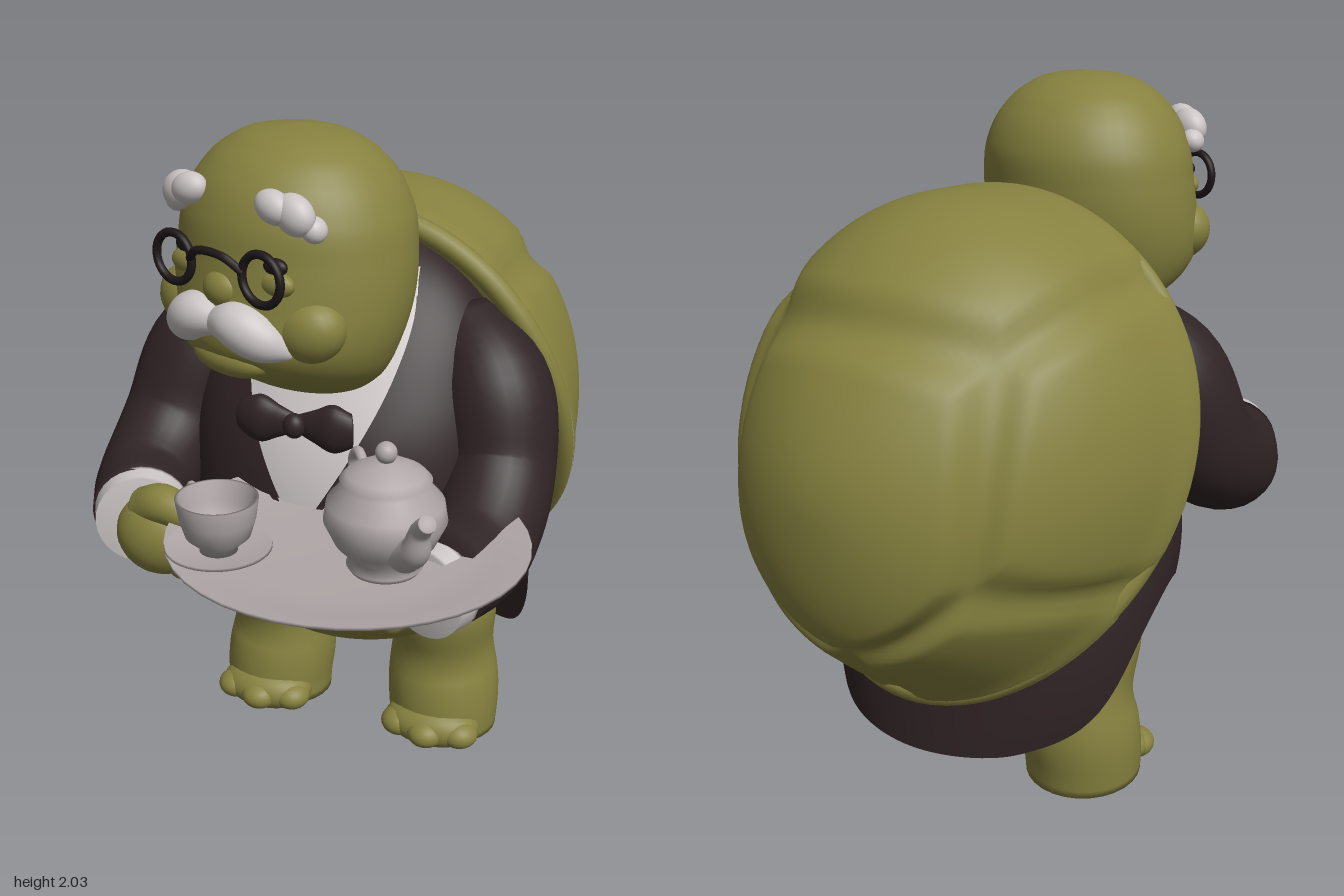
import * as THREE from 'three';
import { mergeVertices } from 'three/addons/utils/BufferGeometryUtils.js';
import { ParametricGeometry } from 'three/addons/geometries/ParametricGeometry.js';

const TAU = Math.PI * 2;
const mat = (name, color, side = THREE.FrontSide) => {
  const m = new THREE.MeshStandardMaterial({ color, side });
  m.name = name;
  return m;
};

// Smooth surface from a function (u, v) -> [x, y, z], seams welded
function grid(fn, nu, nv) {
  const g = new ParametricGeometry((u, v, p) => p.set(...fn(u, v)), nu, nv);
  g.deleteAttribute('normal');
  g.deleteAttribute('uv');
  const merged = mergeVertices(g, 1e-4);
  merged.computeVertexNormals();
  return merged;
}

// Smooth lookup in rows of [key, ...values]
function table(rows) {
  const n = rows[0].length - 1;
  const it = new THREE.CubicInterpolant(rows.map(r => r[0]), rows.flatMap(r => r.slice(1)), n, new Float32Array(n));
  return k => Array.from(it.evaluate(k));
}

// Point on an elliptical section [halfWidth, frontZ, backZ]
const onSection = ([rx, f, b], y, a) => [rx * Math.cos(a), y, (f + b) / 2 + (f - b) / 2 * Math.sin(a)];

// Stacked elliptical sections [y, halfWidth, frontZ, backZ]
function loft(rows, nu = 48, nv = 36) {
  const at = table(rows), y0 = rows[0][0], y1 = rows[rows.length - 1][0];
  return grid((u, v) => {
    const y = y0 + (y1 - y0) * v;
    return onSection(at(y), y, -u * TAU);
  }, nu, nv);
}

// Tube with changing radius and closed ends
function limb(points, radii, n = 28) {
  const curve = new THREE.CatmullRomCurve3(points.map(p => new THREE.Vector3(...p)));
  const fr = curve.computeFrenetFrames(n);
  const rad = table(radii.map((r, i) => [i / (radii.length - 1), r]));
  return grid((u, v) => {
    const k = Math.round(v * (n + 2)), i = Math.min(n, Math.max(0, k - 1));
    const r = k <= 0 || k >= n + 2 ? 0 : rad(i / n)[0];
    const c = curve.getPointAt(i / n);
    c.addScaledVector(fr.normals[i], r * Math.cos(u * TAU)).addScaledVector(fr.binormals[i], r * Math.sin(u * TAU));
    return c.toArray();
  }, 28, n + 2);
}

const tube = (pts, r, closed = false, n = 48) =>
  new THREE.TubeGeometry(new THREE.CatmullRomCurve3(pts.map(p => new THREE.Vector3(...p)), closed), n, r, 10, closed);
const lathe = pts => new THREE.LatheGeometry(pts.map(p => new THREE.Vector2(...p)), 40);

export function createModel() {
  const root = new THREE.Group();
  root.name = 'butlerTortoise';
  const skin = mat('olive skin', 0x86813f);
  const cloth = mat('dark jacket', 0x2f2325, THREE.DoubleSide);
  const white = mat('white cloth and hair', 0xcbc4c4, THREE.DoubleSide);
  const china = mat('silver and china', 0xb0a7a7, THREE.DoubleSide);
  const black = mat('spectacle black', 0x1f1718);

  const add = (name, geo, m, parent = root) => {
    const mesh = new THREE.Mesh(geo, m);
    mesh.name = name;
    parent.add(mesh);
    return mesh;
  };
  const ball = (name, m, pos, size, parent = root, rz = 0) => {
    const b = add(name, new THREE.SphereGeometry(1, 24, 16), m, parent);
    b.position.set(...pos);
    b.scale.set(...size);
    b.rotation.z = rz;
    return b;
  };

  // Shell: dome over a bowed rim, fuller on top, with grooves between the plates
  const rim = (a, k = 1) => {
    const s = Math.sin(a);
    return [-0.015 + 0.625 * k * Math.cos(a), 1.04 + 0.655 * k * s, -0.2 + 0.27 * s - 0.15 * s * s];
  };
  const plates = [90, 0, 180, -52, -128].map(d => {
    const a = d * Math.PI / 180;
    return new THREE.Vector3(Math.cos(a), Math.sin(a), 0.22).normalize();
  });
  plates.push(new THREE.Vector3(0, 0, 1));
  const dir = new THREE.Vector3();
  add('shell', grid((u, v) => {
    const a = -u * TAU, t = v * Math.PI / 2, c = Math.cos(t), s = Math.sin(t);
    dir.set(c * Math.cos(a), c * Math.sin(a), s);
    const d = plates.map(p => p.distanceTo(dir)).sort((p, q) => p - q);
    const puff = 0.035 * THREE.MathUtils.smoothstep(d[1] - d[0], 0, 0.25) - 0.02;
    const k = 1 + puff + 0.12 * Math.sin(a) * Math.sin(3 * t) + 0.025 * Math.exp(-((t / 0.1) ** 2));
    const [x, y, z] = rim(a);
    return [-0.015 + (x + 0.015) * c * k, 1.04 + (y - 1.04) * c * k, z + (-0.985 - z) * s - puff * s];
  }, 128, 64), skin);
  add('shellUnderside', grid((u, v) => {
    const [x, y, z] = rim(u * TAU), c = 1 - v;
    return [x * c, 1.04 + (y - 1.04) * c, -0.3 + (z + 0.3) * c];
  }, 64, 6), skin);
  add('shellRim', tube(Array.from({ length: 32 }, (_, i) => rim(i / 32 * TAU, 0.985)), 0.033, true, 96), skin);

  // Belly
  add('belly', loft([[0.36, 0.02, -0.06, -0.12], [0.39, 0.2, 0.1, -0.25], [0.46, 0.37, 0.2, -0.36],
    [0.55, 0.45, 0.265, -0.42], [0.65, 0.47, 0.3, -0.42], [0.8, 0.4, 0.25, -0.35]]), skin);

  // Jacket with a hem that drops into a broad tail behind
  const jacketAt = table([[0.15, 0.44, 0.2, -0.6], [0.3, 0.5, 0.24, -0.585], [0.55, 0.53, 0.29, -0.55], [0.7, 0.53, 0.345, -0.5],
    [0.9, 0.5, 0.365, -0.45], [1.1, 0.48, 0.33, -0.4], [1.25, 0.46, 0.26, -0.4], [1.45, 0.38, 0.13, -0.35],
    [1.56, 0.27, 0.03, -0.28], [1.62, 0.17, -0.06, -0.22]]);
  const hemAt = table([[-1, 0.19], [-0.75, 0.215], [-0.4, 0.31], [-0.1, 0.55], [0.1, 0.63], [0.5, 0.59], [0.9, 0.54], [1, 0.54]]);
  add('jacket', grid((u, v) => {
    const a = -u * TAU, s = Math.sin(a);
    const notch = s > 0 ? 0.06 * Math.exp(-(((Math.cos(a) + 0.12) / 0.08) ** 2)) : 0;
    const hem = hemAt(s)[0] + notch, y = hem + (1.62 - hem) * v;
    return onSection(jacketAt(y), y, a);
  }, 128, 48), cloth);

  // Sheets that lie on the jacket front between two x limits
  const onChest = (x, y, off) => {
    const [rx, f, b] = jacketAt(y);
    return [x, y, (f + b) / 2 + (f - b) / 2 * Math.sqrt(Math.max(0, 1 - (x / rx) ** 2)) + off];
  };
  const sheet = (y0, y1, lo, hi, off) => grid((u, v) => {
    const y = y0 + (y1 - y0) * v;
    return onChest(lo(y) + (hi(y) - lo(y)) * u, y, off);
  }, 16, 24);
  const openAt = table([[0.88, 0.005], [1.0, 0.08], [1.15, 0.16], [1.3, 0.215], [1.45, 0.235], [1.56, 0.21]]);
  const open = y => openAt(y)[0];
  add('shirt', sheet(0.88, 1.56, y => -open(y), open, 0.008), white);
  const lapel = y => open(y) + 0.11 * Math.sin(Math.PI * Math.min(1, (y - 0.88) / 0.62) ** 1.4);
  for (const s of [-1, 1]) add('lapel', sheet(0.88, 1.5, y => s * open(y), y => s * lapel(y), 0.016), cloth);
  add('collar', tube(Array.from({ length: 16 }, (_, i) => {
    const a = i / 16 * TAU;
    return [-0.01 + 0.205 * Math.cos(a), 1.46 - 0.13 * Math.sin(a), 0.12 + 0.155 * Math.sin(a)];
  }), 0.03, true), white);

  // Bow tie
  const bow = new THREE.Group();
  bow.name = 'bowTie';
  bow.position.set(-0.02, 1.185, 0.325);
  root.add(bow);
  for (const s of [-1, 1]) {
    const wing = limb([[0, 0, 0], [s * 0.06, 0, 0.005], [s * 0.13, 0, 0], [s * 0.16, 0, -0.01]], [0.025, 0.048, 0.07, 0.05]);
    add('bowWing', wing, cloth, bow).scale.z = 0.55;
  }
  ball('bowKnot', cloth, [0, 0, 0.02], [0.032, 0.036, 0.03], bow);

  // Legs and toes
  for (const s of [-1, 1]) {
    const x = s * 0.28 - 0.015;
    add('leg', limb([[x - s * 0.02, 0.62, -0.1], [x, 0.4, -0.145], [x, 0.22, -0.165], [x + s * 0.01, 0.08, -0.15], [x + s * 0.01, 0, -0.145]],
      [0.12, 0.172, 0.16, 0.178, 0.172]), skin);
    ball('instep', skin, [x + s * 0.01, 0.05, -0.04], [0.155, 0.075, 0.1]);
    for (const i of [-1, 0, 1])
      ball('toe', skin, [x + s * 0.01 + i * 0.1, 0.045, 0.025 - Math.abs(i) * 0.035], [0.06, 0.045, 0.06]);
  }

  // Sleeves, cuffs and hands
  add('rightSleeve', limb([[-0.3, 1.4, -0.1], [-0.46, 1.25, -0.02], [-0.53, 1.02, 0.08], [-0.53, 0.9, 0.28], [-0.46, 0.89, 0.45]],
    [0.1, 0.165, 0.165, 0.15, 0.135]), cloth);
  add('leftSleeve', limb([[0.3, 1.4, -0.1], [0.43, 1.25, -0.02], [0.485, 1.02, 0.06], [0.49, 0.87, 0.26], [0.45, 0.865, 0.47]],
    [0.1, 0.165, 0.16, 0.153, 0.138]), cloth);
  add('rightCuff', limb([[-0.455, 0.89, 0.44], [-0.425, 0.89, 0.5]], [0.137, 0.13], 6), white);
  add('leftCuff', limb([[0.45, 0.85, 0.46], [0.425, 0.85, 0.53]], [0.13, 0.126], 6), white);
  ball('rightHand', skin, [-0.33, 0.9, 0.56], [0.13, 0.118, 0.1]);
  ball('leftHand', skin, [0.35, 0.865, 0.58], [0.11, 0.085, 0.11]);
  add('rightThumb', limb([[-0.37, 0.97, 0.56], [-0.3, 1.005, 0.59], [-0.2, 0.985, 0.61]], [0.06, 0.055, 0.035]), skin);
  for (let i = 0; i < 3; i++) {
    ball('rightFinger', skin, [-0.22, 0.91 - i * 0.045, 0.595 - i * 0.015], [0.09, 0.042, 0.055], root, 0.15);
    ball('leftFinger', skin, [0.25 + i * 0.075, 0.87 + i * 0.004, 0.67], [0.046, 0.062, 0.08]);
  }

  // Neck, then the head turned to its right
  ball('neck', skin, [-0.02, 1.4, 0.13], [0.19, 0.2, 0.165]);
  const head = new THREE.Group();
  head.name = 'head';
  head.position.set(-0.025, 0, 0.28);
  head.rotation.y = -0.32;
  root.add(head);
  add('skull', loft([[1.27, 0.01, -0.04, -0.06], [1.3, 0.15, 0.08, -0.13], [1.35, 0.24, 0.18, -0.18], [1.4, 0.285, 0.265, -0.21],
    [1.46, 0.315, 0.315, -0.235], [1.52, 0.332, 0.325, -0.255], [1.6, 0.34, 0.315, -0.275], [1.7, 0.335, 0.3, -0.285],
    [1.8, 0.315, 0.285, -0.28], [1.9, 0.258, 0.235, -0.23], [1.96, 0.185, 0.165, -0.16], [1.99, 0.1, 0.09, -0.085],
    [2, 0.003, 0.003, -0.003]], 48, 72), skin, head);
  ball('nose', skin, [0, 1.63, 0.285], [0.06, 0.05, 0.045], head);
  ball('chin', skin, [0, 1.44, 0.26], [0.13, 0.05, 0.06], head);
  for (const s of [-1, 1]) {
    ball('cheek', skin, [s * 0.2, 1.54, 0.19], [0.11, 0.09, 0.085], head, s * 0.3);
    ball('eye', black, [s * 0.15, 1.71, 0.258], [0.042, 0.024, 0.02], head);
    ball('eyePouch', skin, [s * 0.15, 1.665, 0.255], [0.06, 0.035, 0.03], head);
    add('lensRing', new THREE.TorusGeometry(0.064, 0.0115, 10, 36), black, head).position.set(s * 0.152, 1.687, 0.308);
    // Brow and moustache tufts
    ball('brow', white, [s * 0.145, 1.855, 0.25], [0.055, 0.042, 0.038], head, -s * 0.3);
    ball('brow', white, [s * 0.195, 1.84, 0.23], [0.06, 0.05, 0.042], head, -s * 0.5);
    ball('brow', white, [s * 0.235, 1.805, 0.205], [0.035, 0.032, 0.034], head, -s * 0.8);
    add('moustache', limb([[-s * 0.01, 1.55, 0.31], [s * 0.07, 1.552, 0.308], [s * 0.135, 1.52, 0.285], [s * 0.2, 1.485, 0.24]],
      [0.035, 0.062, 0.056, 0.015]), white, head);
  }
  add('bridge', tube([[-0.092, 1.695, 0.31], [-0.045, 1.73, 0.33], [0.045, 1.73, 0.33], [0.092, 1.695, 0.31]], 0.011), black, head);

  // Tray
  const tray = add('tray', lathe([[0, -0.045], [0.3, -0.04], [0.4, -0.02], [0.485, 0.005], [0.485, 0.014], [0.4, -0.004], [0.3, -0.014], [0, -0.016]]), china);
  tray.position.set(0.215, 0.972, 0.54);
  tray.scale.z = 0.94;

  // Teapot
  const pot = new THREE.Group();
  pot.name = 'teapot';
  pot.position.set(0.35, 0.96, 0.615);
  pot.rotation.y = -0.8;
  root.add(pot);
  add('potBody', lathe([[0, 0], [0.09, 0], [0.1, 0.015], [0.088, 0.035], [0.13, 0.08], [0.158, 0.14], [0.15, 0.19], [0.112, 0.235],
    [0.117, 0.25], [0.1, 0.268], [0.06, 0.29], [0.02, 0.3]]), china, pot);
  ball('potKnob', china, [0, 0.322, 0], [0.028, 0.028, 0.028], pot);
  add('spout', limb([[0.12, 0.1, 0], [0.18, 0.14, 0], [0.205, 0.2, 0], [0.245, 0.24, 0]], [0.05, 0.04, 0.028, 0.022]), china, pot);
  add('potHandle', tube([[-0.13, 0.22, 0], [-0.18, 0.25, 0], [-0.215, 0.21, 0], [-0.19, 0.14, 0], [-0.14, 0.1, 0]], 0.014), china, pot);

  // Cup and saucer
  const cup = new THREE.Group();
  cup.name = 'teacup';
  cup.position.set(-0.07, 0.965, 0.72);
  cup.rotation.y = -0.6;
  root.add(cup);
  add('saucer', lathe([[0, 0], [0.07, 0], [0.14, 0.025], [0.138, 0.032], [0.07, 0.012], [0, 0.012]]), china, cup);
  add('cupBowl', lathe([[0, 0.015], [0.05, 0.015], [0.05, 0.028], [0.085, 0.06], [0.1, 0.11], [0.108, 0.165], [0.1, 0.165], [0.09, 0.11], [0.07, 0.06], [0, 0.05]]), china, cup);
  add('cupHandle', tube([[-0.1, 0.14, 0], [-0.14, 0.145, 0], [-0.15, 0.1, 0], [-0.085, 0.06, 0]], 0.01), china, cup);

  return root;
}
